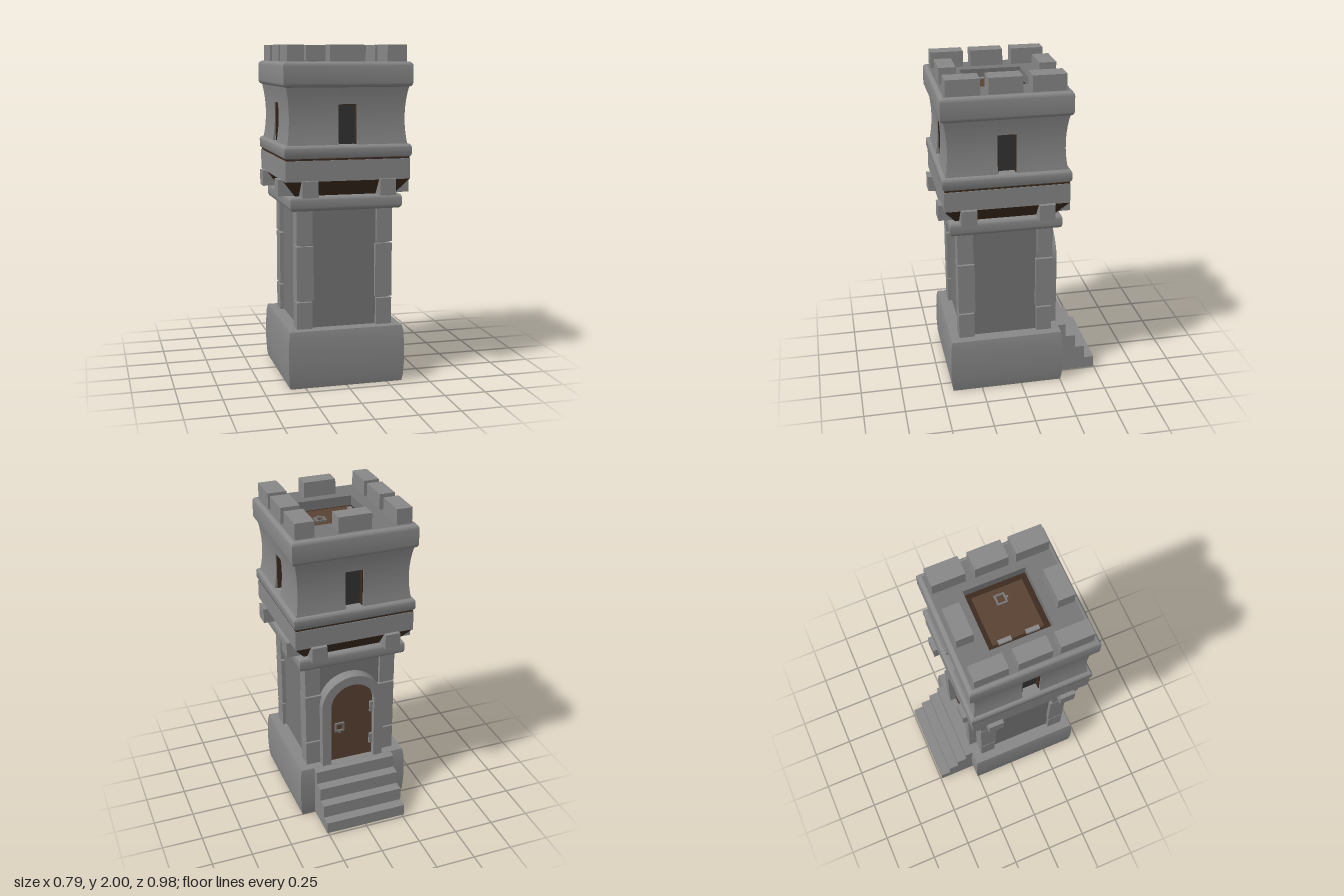
import * as THREE from 'three';
import { toCreasedNormals } from 'three/addons/utils/BufferGeometryUtils.js';

const mat = (color) => new THREE.MeshStandardMaterial({ color });
const stone = mat(0x888888);
const darkStone = mat(0x767676);
const wood = mat(0x5a4232);
const darkWood = mat(0x3d2b1f);
const glass = mat(0x333333);

function add(parent, name, geometry, material) {
  const mesh = new THREE.Mesh(geometry, material);
  mesh.name = name;
  parent.add(mesh);
  return mesh;
}

// Box given by its limits on each axis
function block(parent, name, material, x0, x1, y0, y1, z0, z1) {
  const mesh = add(parent, name, new THREE.BoxGeometry(x1 - x0, y1 - y0, z1 - z0), material);
  mesh.position.set((x0 + x1) / 2, (y0 + y1) / 2, (z0 + z1) / 2);
  return mesh;
}

// Square solid swept around y from [half width, y] points
function squareSolid(parent, name, material, profile) {
  const points = profile.map(([half, y]) => new THREE.Vector2(half * Math.SQRT2, y));
  const geometry = new THREE.LatheGeometry(points, 4, Math.PI / 4);
  return add(parent, name, toCreasedNormals(geometry, 0.7), material);
}

// Outline of a band with rounded upper and lower edges
function roundedEdge(half, y0, y1, r) {
  const points = [];
  for (let i = 0; i <= 8; i++) {
    const a = -Math.PI / 2 + (Math.PI * i) / 8;
    const cy = i < 4 ? y0 + r : y1 - r;
    if (i === 4) points.push([half, y0 + r]);
    points.push([half - r + r * Math.cos(a), cy + r * Math.sin(a)]);
  }
  return points;
}

function band(parent, name, half, y0, y1, r) {
  return squareSolid(parent, name, stone, [[0, y0], ...roundedEdge(half, y0, y1, r), [0, y1]]);
}

// Runs a builder once for each of the four sides
function eachSide(parent, name, build) {
  for (let i = 0; i < 4; i++) {
    const side = new THREE.Group();
    side.name = name;
    side.rotation.y = (i * Math.PI) / 2;
    build(side);
    parent.add(side);
  }
}

// Square pull ring facing +z
function pullRing(parent, x, y, z) {
  const ring = new THREE.Group();
  ring.name = 'pullRing';
  for (const s of [-1, 1]) {
    block(ring, 'ringSide', darkStone, s * 0.026 - 0.005, s * 0.026 + 0.005, -0.031, 0.031, 0, 0.012);
    block(ring, 'ringBar', darkStone, -0.031, 0.031, s * 0.026 - 0.005, s * 0.026 + 0.005, 0, 0.012);
  }
  block(ring, 'ringStud', darkStone, -0.007, 0.007, -0.043, -0.031, 0, 0.012);
  ring.position.set(x, y, z);
  parent.add(ring);
  return ring;
}

// Arched outline standing on y = 0
function archPath(path, half, springY) {
  path.moveTo(-half, 0);
  path.lineTo(half, 0);
  path.lineTo(half, springY);
  path.absarc(0, springY, half, 0, Math.PI, false);
  path.lineTo(-half, 0);
  return path;
}

// Half width of the flared upper wall
const wallHalf = (y) => 0.342 + 0.6 * Math.pow(y - 1.585, 2);

function wallPiece(parent, name, x0, x1, y0, y1) {
  const mesh = block(parent, name, stone, x0, x1, y0, y1, 0.3, 0.35);
  mesh.geometry.dispose();
  const geometry = new THREE.BoxGeometry(x1 - x0, y1 - y0, 0.05, 1, 8, 1);
  geometry.translate(...mesh.position.toArray());
  mesh.position.set(0, 0, 0);
  const p = geometry.attributes.position;
  for (let i = 0; i < p.count; i++) {
    const half = wallHalf(p.getY(i));
    if (p.getZ(i) > 0.33) p.setZ(i, half);
    if (Math.abs(p.getX(i)) > 0.3) p.setX(i, Math.sign(p.getX(i)) * half);
  }
  mesh.geometry = toCreasedNormals(geometry, 0.5);
}

export function createModel() {
  const model = new THREE.Group();
  model.name = 'watchtower';
  const tower = new THREE.Group();
  tower.name = 'tower';
  tower.position.z = 0.09;
  model.add(tower);

  // Plinth and shaft
  squareSolid(tower, 'plinth', stone, [[0, 0], [0.342, 0], [0.349, 0.04], [0.353, 0.11],
    [0.354, 0.17], [0.353, 0.23], [0.349, 0.31], [0.342, 0.345], [0, 0.345]]);
  block(tower, 'shaft', darkStone, -0.265, 0.265, 0.3, 1.08, -0.265, 0.265);

  // Corner pillars of three stones each
  eachSide(tower, 'cornerPillar', (side) => {
    [[0.34, 0.505], [0.515, 0.838], [0.848, 1.07]].forEach(([y0, y1], i) => {
      const inner = i === 1 ? 0.188 : 0.195;
      block(side, 'pillarStone', stone, inner, 0.29, y0, y1, inner, 0.29);
    });
  });

  // Ledge, timber underside and corbels
  band(tower, 'lowerLedge', 0.335, 1.052, 1.14, 0.025);
  squareSolid(tower, 'timberUnderside', darkWood, [[0.29, 1.13], [0.3, 1.14], [0.37, 1.232]]);
  eachSide(tower, 'corbels', (side) => {
    for (const s of [-1, 1]) {
      block(side, 'corbel', stone, s * 0.23 - 0.047, s * 0.23 + 0.047, 1.14, 1.235, 0.28, 0.395);
    }
  });

  // Overhanging floor
  squareSolid(tower, 'fascia', stone, [[0, 1.23], [0.37, 1.23], [0.37, 1.35], [0, 1.35]]);
  squareSolid(tower, 'timberSeam', darkWood, [[0.366, 1.34], [0.366, 1.37]]);
  band(tower, 'middleLedge', 0.377, 1.358, 1.435, 0.02);

  // Upper walls with a window on every side
  eachSide(tower, 'upperWall', (side) => {
    wallPiece(side, 'wallLeft', 0.055, 0.345, 1.43, 1.77);
    wallPiece(side, 'wallRight', -0.345, -0.055, 1.43, 1.77);
    wallPiece(side, 'wallLintel', -0.055, 0.055, 1.665, 1.77);
    block(side, 'windowPane', glass, -0.055, 0.055, 1.43, 1.67, 0.28, 0.305);
    for (const s of [-1, 1]) {
      block(side, 'windowJamb', darkWood, s * 0.053 - 0.003, s * 0.053 + 0.003, 1.43, 1.665, 0.3, 0.338);
    }
    block(side, 'windowHead', darkWood, -0.055, 0.055, 1.66, 1.666, 0.3, 0.338);
  });

  // Crown with a sunken hatch well
  squareSolid(tower, 'crown', stone, [[0, 1.76], ...roundedEdge(0.38, 1.76, 1.905, 0.025)]);
  squareSolid(tower, 'roofFloor', darkStone, [[0.355, 1.905], [0.185, 1.905], [0.185, 1.83], [0, 1.83]]);

  // Roof hatch
  const hatch = new THREE.Group();
  hatch.name = 'hatch';
  block(hatch, 'hatchFrame', darkWood, -0.185, 0.185, 1.82, 1.845, -0.185, 0.185);
  block(hatch, 'hatchDoor', wood, -0.15, 0.15, 1.83, 1.855, -0.15, 0.15);
  for (const z of [-0.08, 0.083]) {
    block(hatch, 'hatchHinge', stone, -0.158, -0.133, 1.845, 1.863, z - 0.039, z + 0.039);
  }
  pullRing(hatch, 0.082, 1.855, -0.005).rotation.x = -Math.PI / 2;
  tower.add(hatch);

  // Battlements
  for (const z of [-0.243, 0.007, 0.248]) {
    block(tower, 'merlon', stone, -0.35, -0.255, 1.9, 2, z - 0.098, z + 0.098);
    block(tower, 'merlon', stone, 0.235, 0.35, 1.9, 2, z - 0.098, z + 0.098);
  }
  for (const z of [-0.29, 0.295]) {
    block(tower, 'merlon', stone, -0.105, 0.095, 1.9, 2, z - 0.05, z + 0.05);
  }

  // Arched doorway at the back
  const doorway = new THREE.Group();
  doorway.name = 'doorway';
  doorway.position.set(0, 0.34, -0.15);
  doorway.rotation.y = Math.PI;
  const frame = archPath(new THREE.Shape(), 0.2, 0.42);
  frame.holes.push(archPath(new THREE.Path(), 0.142, 0.42));
  const extrude = (shape, depth) => toCreasedNormals(
    new THREE.ExtrudeGeometry(shape, { depth, bevelEnabled: false, curveSegments: 16 }), 0.5);
  add(doorway, 'doorFrame', extrude(frame, 0.1), stone);
  add(doorway, 'door', extrude(archPath(new THREE.Shape(), 0.145, 0.42), 0.06), wood);
  for (const y of [0.12, 0.36]) {
    block(doorway, 'doorHinge', stone, 0.122, 0.142, y - 0.035, y + 0.035, 0.05, 0.075);
  }
  pullRing(doorway, -0.075, 0.25, 0.06);
  model.add(doorway);

  // Steps up to the door
  for (let i = 0; i < 4; i++) {
    block(model, 'step', stone, -0.26, 0.26, i ? 0.086 * i : 0.01, 0.086 * (i + 1), -0.492 + 0.063 * i, -0.2);
  }
  return model;
}
